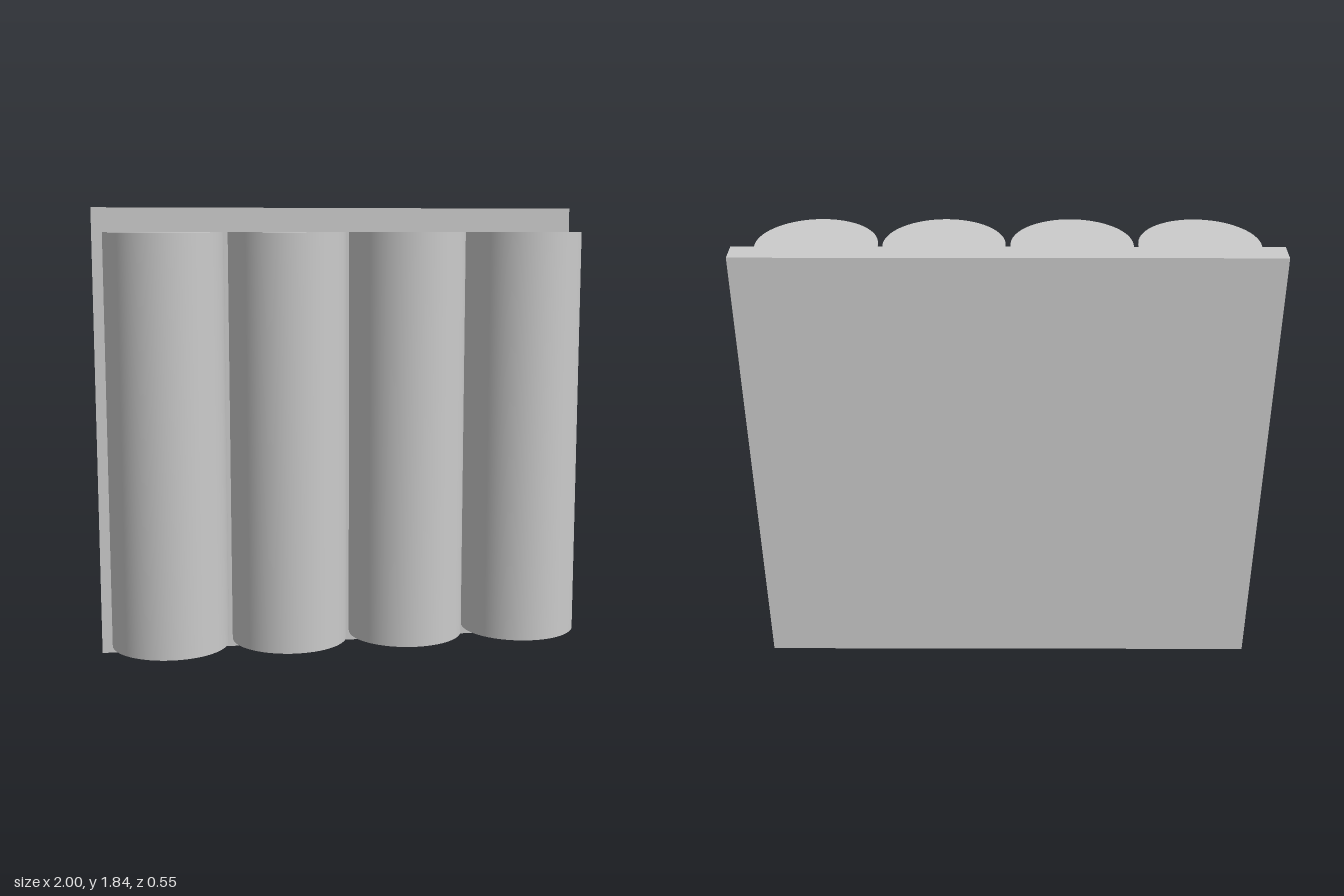
import * as THREE from 'three';

export function createModel() {
  const group = new THREE.Group();
  const material = new THREE.MeshStandardMaterial({ color: 0xcccccc });

  // Upright back panel
  const panel = new THREE.Mesh(new THREE.BoxGeometry(2, 1.84, 0.094), material);
  panel.name = 'backPanel';
  panel.position.set(0, 0.92, -0.23);
  group.add(panel);

  // Row of four solid columns resting against the panel's front
  const radius = 0.233, height = 1.643, spacing = 0.484;
  const columnGeometry = new THREE.CylinderGeometry(radius, radius, height, 64);
  for (let i = 0; i < 4; i++) {
    const column = new THREE.Mesh(columnGeometry, material);
    column.name = `column${i + 1}`;
    column.position.set((i - 1.5) * spacing, 0.92, 0.277 - radius);
    group.add(column);
  }
  return group;
}
